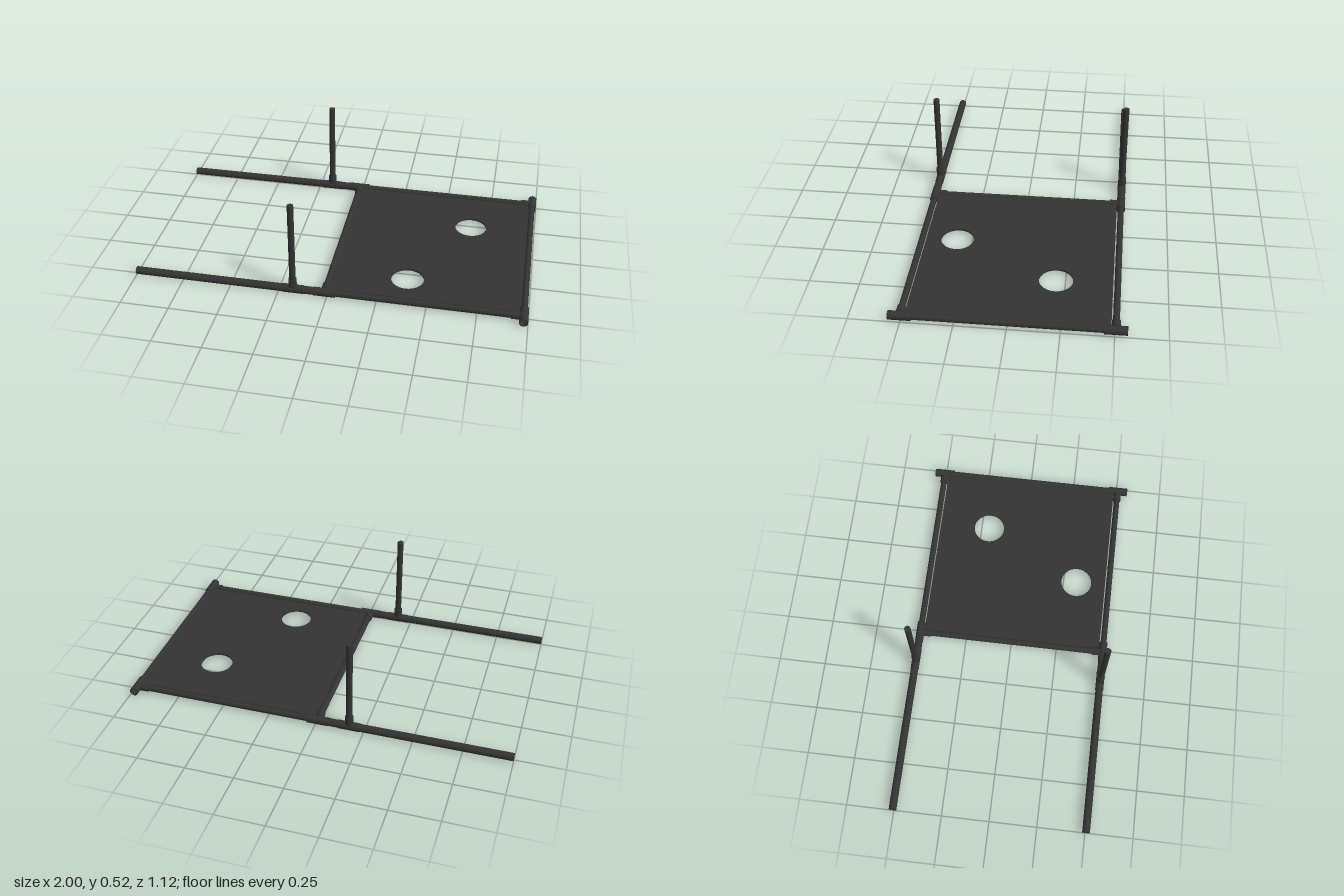
import * as THREE from 'three';

const Y = 0.022;      // height of the frame's centre line
const RAIL_Z = 0.505; // side rails
const PIPE_R = 0.016, HANDLE_R = 0.02, TEE_R = 0.022;

export function createModel() {
  const model = new THREE.Group();
  const material = new THREE.MeshStandardMaterial({ color: 0x333333 });
  const up = new THREE.Vector3(0, 1, 0);

  function place(geometry, name, from, to, parent) {
    const a = new THREE.Vector3(...from), b = new THREE.Vector3(...to);
    const mesh = new THREE.Mesh(geometry, material);
    mesh.name = name;
    mesh.position.copy(a).add(b).multiplyScalar(0.5);
    mesh.quaternion.setFromUnitVectors(up, b.sub(a).normalize());
    parent.add(mesh);
  }

  const span = (a, b) => Math.hypot(b[0] - a[0], b[1] - a[1], b[2] - a[2]);

  // Solid pipe between two points
  function pipe(name, from, to, r) {
    place(new THREE.CylinderGeometry(r, r, span(from, to), 32), name, from, to, model);
  }

  // Open sleeve with a wall, used for the fittings
  function sleeve(name, from, to, r, parent) {
    const h = span(from, to) / 2, i = PIPE_R;
    // Separate wall pieces keep the rims sharp
    const walls = [[[r, -h], [r, h]], [[r, h], [i, h]], [[i, h], [i, -h]], [[i, -h], [r, -h]]];
    for (const wall of walls) {
      const points = wall.map(p => new THREE.Vector2(...p));
      place(new THREE.LatheGeometry(points, 32), name, from, to, parent);
    }
  }

  // T fitting: a run along one axis and a branch from its middle
  function tee(name, centre, runAxis, branchAxis) {
    const group = new THREE.Group();
    group.name = name;
    const shift = (axis, d) => centre.map((c, k) => c + axis[k] * d);
    sleeve('teeRun', shift(runAxis, -0.055), shift(runAxis, 0.055), TEE_R, group);
    sleeve('teeBranch', shift(branchAxis, 0.017), shift(branchAxis, 0.061), TEE_R - 0.001, group);
    model.add(group);
  }

  for (const s of [1, -1]) {
    const side = s > 0 ? 'front' : 'back';
    const z = s * RAIL_Z;
    // Side rail, handle and upright
    pipe(side + 'Rail', [-0.02, Y, z], [0.965, Y, z], PIPE_R);
    pipe(side + 'Handle', [-1, Y, z], [-0.02, Y, z], HANDLE_R);
    pipe(side + 'Upright', [-0.175, Y, z], [-0.175, 0.52, z], PIPE_R);
    // Fittings
    tee(side + 'UprightTee', [-0.175, Y, z], [1, 0, 0], [0, 1, 0]);
    tee(side + 'MiddleTee', [-0.012, Y, z], [1, 0, 0], [0, 0, -s]);
    tee(side + 'EndTee', [0.978, Y, z], [0, 0, 1], [-1, 0, 0]);
  }

  // Cross bars
  pipe('middleCrossbar', [-0.012, Y, -0.5], [-0.012, Y, 0.5], PIPE_R);
  pipe('endCrossbar', [0.978, Y, -0.52], [0.978, Y, 0.52], PIPE_R);

  // Board with two round holes
  const shape = new THREE.Shape();
  shape.moveTo(-0.005, -0.483);
  shape.lineTo(0.97, -0.483);
  shape.lineTo(0.97, 0.483);
  shape.lineTo(-0.005, 0.483);
  shape.closePath();
  for (const [x, z] of [[0.657, -0.205], [0.382, 0.322]]) {
    const hole = new THREE.Path();
    hole.absarc(x, z, 0.084, 0, Math.PI * 2, true);
    shape.holes.push(hole);
  }
  const depth = 0.01;
  const boardGeometry = new THREE.ExtrudeGeometry(shape, { depth, bevelEnabled: false, curveSegments: 32 });
  boardGeometry.rotateX(Math.PI / 2);
  boardGeometry.translate(0, Y + depth / 2, 0);
  const board = new THREE.Mesh(boardGeometry, material);
  board.name = 'board';
  model.add(board);

  return model;
}
